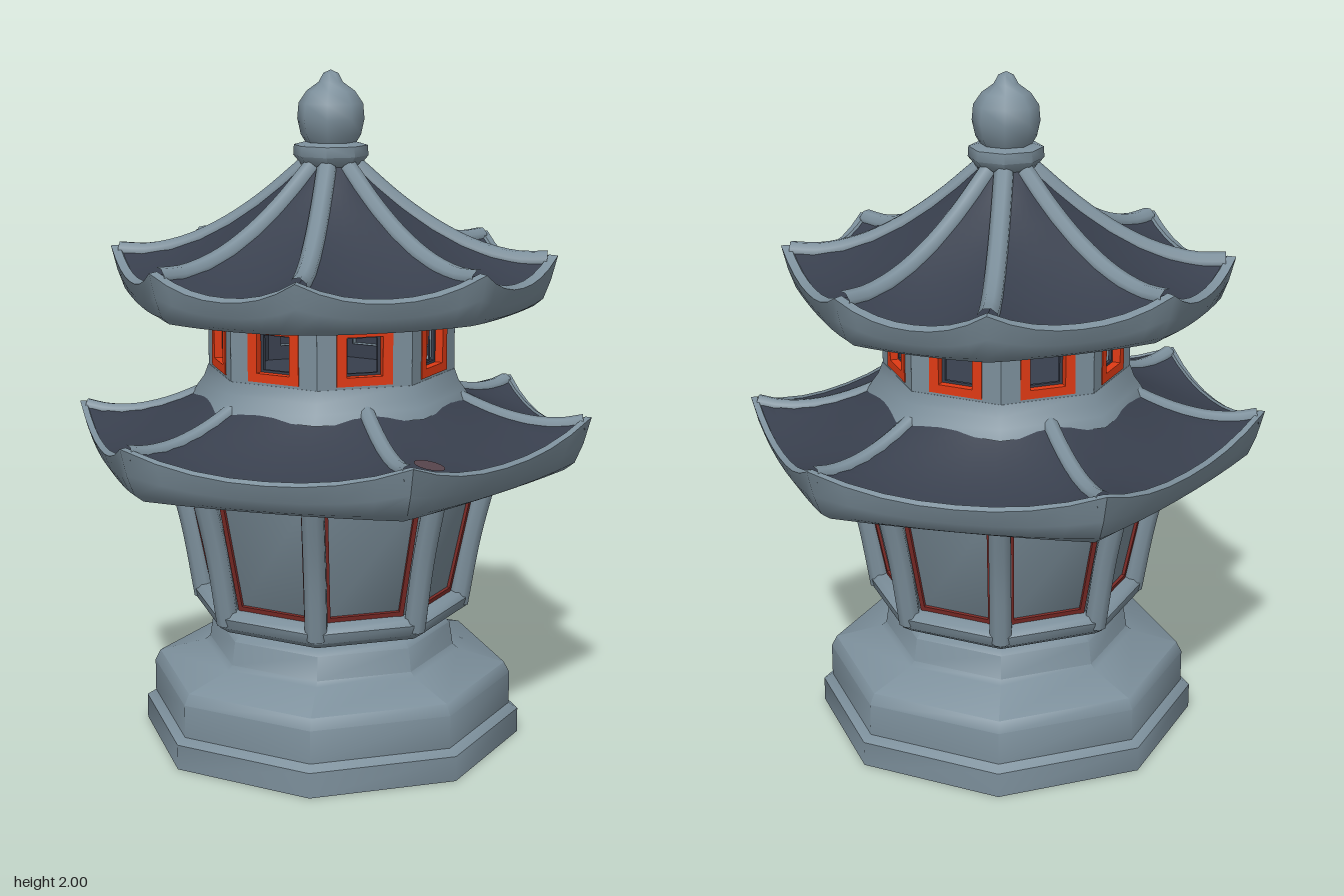
import * as THREE from 'three';
import { toCreasedNormals } from 'three/addons/utils/BufferGeometryUtils.js';

const mat = (name, color) => new THREE.MeshStandardMaterial({ name, color });
const C8 = Math.cos(Math.PI / 8);

// Ring of eight corners with flat sides facing the axes
const oct = (r, y) => Array.from({ length: 8 }, (_, k) => {
  const a = Math.PI / 8 + k * Math.PI / 4;
  return new THREE.Vector3(r * Math.sin(a), y, r * Math.cos(a));
});

// Skin over rings listed from underneath, outward and up
function loft(rings, crease = 0.6) {
  const n = rings[0].length, pos = [], idx = [];
  rings.forEach(r => r.forEach(p => pos.push(p.x, p.y, p.z)));
  for (let i = 0; i < rings.length - 1; i++) {
    for (let j = 0; j < n; j++) {
      const a = i * n + j, b = i * n + (j + 1) % n;
      idx.push(a, b, b + n, a, b + n, a + n);
    }
  }
  const g = new THREE.BufferGeometry();
  g.setAttribute('position', new THREE.Float32BufferAttribute(pos, 3));
  g.setIndex(idx);
  return toCreasedNormals(g, crease);
}

// Octagonal solid from [distance to flat side, height] pairs
const octSolid = (profile, crease) => loft(profile.map(([a, y]) => oct(a / C8, y)), crease);

function rect(w, h, y, P) {
  const p = new P();
  p.moveTo(-w / 2, y - h / 2).lineTo(w / 2, y - h / 2);
  p.lineTo(w / 2, y + h / 2).lineTo(-w / 2, y + h / 2).closePath();
  return p;
}

function pane(w, h, y, hw, hh, hy, depth) {
  const s = rect(w, h, y, THREE.Shape);
  s.holes.push(rect(hw, hh, hy, THREE.Path));
  return new THREE.ExtrudeGeometry(s, { depth, bevelEnabled: false });
}

export function createModel() {
  const stone = mat('stone', 0x7c8f9b);
  const slate = mat('slate', 0x383f4d);
  const red = mat('red lacquer', 0xe03a14);
  const trim = mat('dark red trim', 0x7c2a26);
  const stain = mat('rust stain', 0x57454c);
  const model = new THREE.Group();
  model.name = 'stoneLantern';

  const add = (name, geo, material, parent = model) => {
    const m = new THREE.Mesh(geo, material);
    m.name = name;
    parent.add(m);
    return m;
  };
  const tube = (pts, r, seg = 12) =>
    new THREE.TubeGeometry(new THREE.CatmullRomCurve3(pts), seg, r, 8, false);
  const group = (name, parent = model) => {
    const g = new THREE.Group();
    g.name = name;
    parent.add(g);
    return g;
  };

  // Stepped base, softly worn
  add('base', octSolid([[0, 0], [0.53, 0], [0.53, 0.075], [0.505, 0.092], [0.505, 0.19], [0.49, 0.222],
    [0.36, 0.262], [0.345, 0.275], [0.335, 0.345], [0.32, 0.36], [0.3, 0.365], [0.3, 0.39]], 0.85), stone);

  // Lower chamber: recessed core, sill, head rail and corner posts
  add('chamberCore', octSolid([[0.3, 0.4], [0.333, 0.42], [0.416, 0.86]], 0.85), stone);
  add('chamberSill', octSolid([[0.28, 0.375], [0.355, 0.38], [0.383, 0.4], [0.39, 0.43], [0.375, 0.447], [0.32, 0.452]], 0.85), stone);
  add('chamberHead', octSolid([[0.4, 0.82], [0.46, 0.825], [0.46, 0.86]]), stone);
  const low = oct(0.387, 0.41), mid = oct(0.425, 0.63), high = oct(0.48, 0.85);
  low.forEach((p, k) => add('chamberPost', tube([p, mid[k], high[k]], 0.034), stone));
  for (let k = 0; k < 8; k++) {
    const face = group('panelTrim');
    face.rotation.y = k * Math.PI / 4;
    const inner = group('panelTrimFrame', face);
    inner.position.set(0, 0.635, 0.378);
    inner.rotation.x = 0.186;
    for (const s of [-1, 1]) {
      const bar = add('sideTrim', new THREE.BoxGeometry(0.014, 0.38, 0.009), trim, inner);
      bar.position.x = s * 0.124;
      bar.rotation.z = -s * 0.075;
    }
    add('bottomTrim', new THREE.BoxGeometry(0.22, 0.014, 0.009), trim, inner).position.y = -0.18;
  }

  // Curved roof with upturned corners
  function roof(name, corners, o) {
    const g = group(name), n = corners.length, S = 8;
    const point = (k, u, t) => {
      const a = corners[k % n], b = corners[(k + 1) % n];
      const x = a[0] + (b[0] - a[0]) * u, z = a[1] + (b[1] - a[1]) * u;
      const R = Math.hypot(x, z), r = o.rIn + (R - o.rIn) * t;
      const c = Math.abs(2 * u - 1);
      const y = o.top + (o.eave - o.top) * (1 - (1 - t) ** o.power) + o.lift * t ** 2.5 * c ** 2.2;
      return new THREE.Vector3(x / R * r, y, z / R * r);
    };
    const ring = t => Array.from({ length: n * S }, (_, i) => point(Math.floor(i / S), (i % S) / S, t));
    const under = (f, y, lift) => ring(1).map(p =>
      new THREE.Vector3(p.x * f, y + (p.y - o.eave) * lift, p.z * f));
    add('tiles', loft([0.955, 0.85, 0.7, 0.55, 0.4, 0.25, 0.12, 0].map(ring)), slate, g);
    const edge = ring(1), lip = ring(0.955);
    lip.forEach(p => { p.y += 0.008; });
    add('eave', loft([under(0.9, o.bottom, 0.1), under(0.94, o.bottom + 0.012, 0.25),
      under(0.972, o.bottom + 0.045, 0.6), edge, lip, ring(0.945)], 0.9), stone, g);
    add('soffit', loft([under(o.inner, o.bottom + 0.02, 0), under(0.9, o.bottom, 0.1)]), stone, g);
    add('ceiling', loft([under(0, o.bottom + 0.02, 0), under(o.inner, o.bottom + 0.02, 0)]), slate, g);
    // Ribs half sunk into the tiles
    for (let k = 0; k < n; k++) {
      const pts = [0, 0.2, 0.4, 0.6, 0.8, 0.95].map(t => point(k, 0, t));
      pts.forEach(p => { p.y -= o.sink; });
      add('rib', tube(pts, o.rib, 16), stone, g);
    }
  }
  const hex = [[0, 0.77], [0.7, 0.33], [0.7, -0.32], [0, -0.775], [-0.7, -0.32], [-0.7, 0.33]];
  roof('lowerRoof', hex,
    { rIn: 0.35, top: 1.07, eave: 0.925, lift: 0.075, power: 1.5, bottom: 0.83, inner: 0.5, rib: 0.026, sink: 0.01 });
  const eight = [[0.27, 0.58], [0.6, 0.285], [0.6, -0.29], [0.27, -0.585],
    [-0.27, -0.585], [-0.6, -0.29], [-0.6, 0.285], [-0.27, 0.58]];
  roof('upperRoof', eight,
    { rIn: 0.075, top: 1.73, eave: 1.41, lift: 0.065, power: 1.7, bottom: 1.32, inner: 0.66, rib: 0.03, sink: 0.01 });

  // Faint stain on the front of the lower roof
  const spot = add('roofStain', new THREE.CircleGeometry(0.044, 16), stain);
  spot.position.set(0.09, 0.973, 0.64);
  spot.lookAt(0.09 + 0.18, 0.973 + 1, 0.64 + 0.1);

  // Hollow lamp room with a framed opening on each side
  add('roomSkirt', octSolid([[0.385, 1.04], [0.37, 1.068], [0.352, 1.095], [0.34, 1.13], [0.3, 1.13]], 0.85), stone);
  add('roomFloor', octSolid([[0.31, 1.1], [0, 1.1]]), slate);
  for (let k = 0; k < 8; k++) {
    const side = group('roomSide');
    side.rotation.y = k * Math.PI / 4;
    add('wall', pane(0.281, 0.27, 1.215, 0.155, 0.155, 1.22, 0.05), stone, side).position.z = 0.289;
    add('wallLining', pane(0.236, 0.25, 1.215, 0.155, 0.155, 1.22, 0.005), slate, side).position.z = 0.283;
    add('windowFrame', pane(0.165, 0.165, 1.22, 0.106, 0.114, 1.22, 0.024), red, side).position.z = 0.318;
    add('windowReveal', pane(0.156, 0.156, 1.22, 0.088, 0.1, 1.22, 0.01), slate, side).position.z = 0.308;
  }

  // Collar and bud finial
  const lathe = pts => toCreasedNormals(new THREE.LatheGeometry(
    pts.map(p => new THREE.Vector2(...p)), 8, Math.PI / 8), 0.9);
  add('finialCollar', lathe([[0.06, 1.71], [0.085, 1.725], [0.11, 1.755], [0.108, 1.785], [0.07, 1.795]]), stone);
  add('finialBud', lathe([[0.07, 1.785], [0.088, 1.815], [0.098, 1.86], [0.094, 1.905], [0.07, 1.94],
    [0.035, 1.965], [0.022, 1.99], [0, 2]]), stone);
  return model;
}
